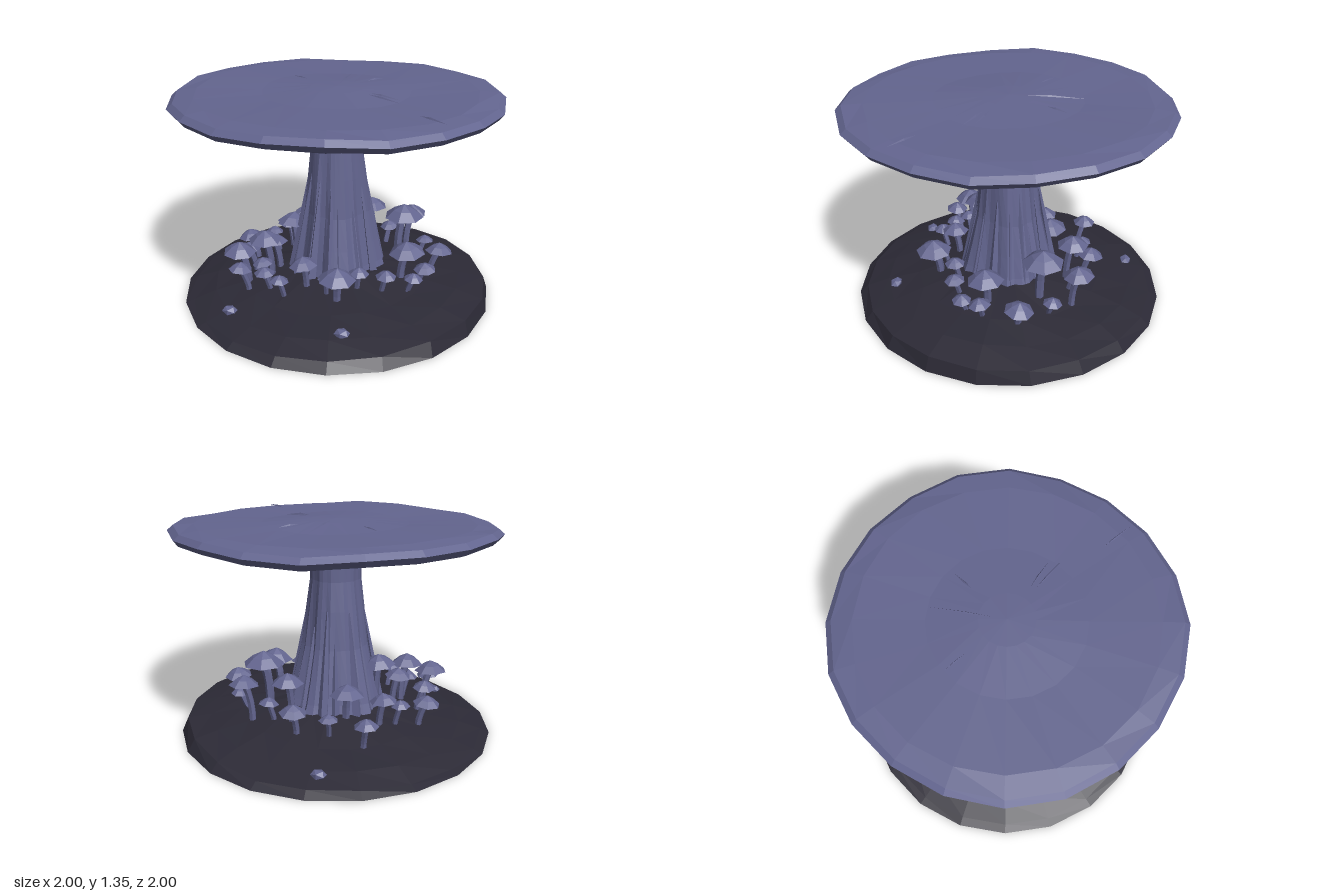
import * as THREE from 'three';
import { mergeGeometries } from 'three/addons/utils/BufferGeometryUtils.js';

const mat = (name, color) => {
  const m = new THREE.MeshStandardMaterial({ color });
  m.name = name;
  return m;
};

// Small seeded random
function seeded(seed) {
  return () => (seed = (seed * 16807) % 2147483647) / 2147483647;
}

// Flat facets: split every triangle and recompute the normals
function flat(geo) {
  const g = geo.index ? geo.toNonIndexed() : geo;
  g.deleteAttribute('uv');
  g.computeVertexNormals();
  return g;
}

// Move each vertex by a rule
function reshape(geo, rule) {
  const p = geo.attributes.position, v = new THREE.Vector3();
  for (let i = 0; i < p.count; i++) {
    v.fromBufferAttribute(p, i);
    rule(v, Math.hypot(v.x, v.z), Math.atan2(v.x, v.z));
    p.setXYZ(i, v.x, v.y, v.z);
  }
  return geo;
}

const lathe = (pts, sides, start = 0, length = Math.PI * 2) =>
  new THREE.LatheGeometry(pts.map(([x, y]) => new THREE.Vector2(x, y)), sides, start, length);

// Height of a profile at radius r
function heightAt(profile, r) {
  for (let i = 1; i < profile.length; i++) {
    const [r0, y0] = profile[i - 1], [r1, y1] = profile[i];
    if (r <= r1) return y0 + (y1 - y0) * (r - r0) / (r1 - r0);
  }
  return profile[profile.length - 1][1];
}

const UNDER = [[0.12, 1.165], [0.4, 1.17], [0.62, 1.197], [0.8, 1.224], [0.93, 1.243]];
const TOP = [[0, 1.347], [0.16, 1.342], [0.45, 1.325], [0.85, 1.328]];

// Thin radial fold on a surface; side is -1 hanging below, +1 standing above
function fold(profile, angle, r0, r1, width, depth, side) {
  const at = (r, offset, lift) => {
    const s = Math.sin(angle), c = Math.cos(angle);
    return [r * s + offset * c, heightAt(profile, r) + lift, r * c - offset * s];
  };
  const rm = r0 + (r1 - r0) * 0.4;
  const I = at(r0, 0, 0), O = at(r1, 0, 0), M = at(rm, 0, side * depth);
  const L = at(rm, -side * width, 0), R = at(rm, side * width, 0);
  const g = new THREE.BufferGeometry();
  g.setAttribute('position', new THREE.Float32BufferAttribute(
    [I, L, M, L, O, M, O, R, M, R, I, M].flat(), 3));
  g.computeVertexNormals();
  return g;
}

// Mound height, tilted up towards +x
const MOUND = [[0, 0.18], [0.3, 0.168], [0.6, 0.108], [0.8, 0.072], [0.94, 0.035], [0.995, 0]];
const tilt = (x) => x * (x > 0 ? 0.06 : 0.02);
const groundY = (x, z) => heightAt(MOUND, Math.hypot(x, z)) + tilt(x);

export function createModel() {
  const root = new THREE.Group();
  root.name = 'giantMushroom';
  const rand = seeded(4711);
  const skin = mat('dusty blue', 0x63658f);
  const soil = mat('dark soil', 0x2c2a36);
  const slate = mat('slate', 0x50526c);
  const indigo = mat('indigo', 0x504390);
  const purple = mat('purple', 0x65249a);
  const violet = mat('gill violet', 0x7667c8);

  const add = (name, geo, material, parent = root) => {
    const m = new THREE.Mesh(geo, material);
    m.name = name;
    parent.add(m);
    return m;
  };

  // Ground mound and its flat base
  const mound = lathe(MOUND.slice().reverse(), 20);
  reshape(mound, (v, r, a) => {
    if (v.y < 0.001) return;
    const k = r > 0.9 ? 1 + 0.035 * Math.max(0, v.x) : 1;
    v.y += tilt(v.x) + (r > 0.2 ? 0.006 * Math.sin(5 * a + r * 9) : 0);
    v.x *= k;
  });
  add('ground', flat(mound), soil);
  add('groundBase', flat(lathe([[0, 0], [0.995, 0]], 20)), slate);

  // Fluted trunk, rougher towards the roots
  const sides = 40;
  const flute = Array.from({ length: sides }, () => rand() * 2 - 1);
  const trunk = lathe([[0.31, 0.1], [0.275, 0.22], [0.245, 0.36], [0.205, 0.56], [0.178, 0.8],
    [0.157, 0.98], [0.157, 1.07], [0.19, 1.17]], sides);
  reshape(trunk, (v, r, a) => {
    const i = (Math.round(a / (Math.PI * 2) * sides) + sides) % sides;
    const rough = 0.03 + 0.1 * Math.max(0, 1 - v.y);
    const k = 1 + flute[i] * rough + 0.02 * Math.sin(3 * a + v.y * 4);
    v.x *= k;
    v.z *= k;
  });
  add('trunk', flat(trunk), skin);

  // Bark strips standing off the trunk
  const strips = [];
  for (let i = 0; i < 16; i++) {
    const g = new THREE.CylinderGeometry(0.006, 0.035, 0.45 + rand() * 0.3, 4);
    const h = g.parameters.height, a = (i + rand() * 0.6) / 16 * Math.PI * 2;
    g.rotateX(-0.17);
    g.translate(0, 0.1 + h / 2, 0.232);
    g.rotateY(a);
    strips.push(flat(g));
  }
  add('barkStrips', mergeGeometries(strips), skin);

  // Cap top and wavy rim
  const cap = lathe([[0.93, 1.243], [0.972, 1.25], [1, 1.285], [0.965, 1.315],
    ...TOP.slice().reverse()], 20);
  reshape(cap, (v, r, a) => {
    if (r > 0.935) {
      v.y += 0.01 * Math.sin(3 * a + 1) + 0.007 * Math.sin(7 * a);
      const k = 1 + 0.008 * Math.sin(4 * a);
      v.x *= k;
      v.z *= k;
    } else if (r > 0.3 && v.y > 1.3) v.y += 0.006 * Math.sin(3 * a + 1);
  });
  add('cap', flat(cap), skin);

  // Creases on the cap
  const creases = [[-3.0, 0.08, 0.46], [2.7, 0.27, 0.42], [-2.1, 0.28, 0.48],
    [1.2, 0.25, 0.48], [1.32, 0.24, 0.44], [1.02, 0.72, 0.92]]
    .map(([a, r0, r1]) => fold(TOP, a, r0, r1, 0.006, 0.01, 1));
  add('capCreases', mergeGeometries(creases), skin);

  // Underside in coloured ring sectors
  const ringParts = new Map([[slate, []], [indigo, []], [purple, []]]);
  const step = Math.PI / 10;
  for (let i = 0; i < 20; i++) {
    for (let j = 0; j < 4; j++) {
      const colour = j === 0 ? slate
        : j === 1 ? (i % 3 ? indigo : purple)
        : j === 2 ? (i % 5 < 3 ? purple : indigo)
        : (i % 7 === 1 ? purple : indigo);
      ringParts.get(colour).push(flat(lathe(UNDER.slice(j, j + 2), 1, i * step, step)));
    }
  }
  for (const [m, list] of ringParts) add('capUnderside', mergeGeometries(list), m);

  // Radial gills
  const gills = new Map([[violet, []], [slate, []], [indigo, []], [purple, []]]);
  const order = [violet, slate, indigo, violet, purple, slate, indigo];
  for (let i = 0; i < 260; i++) {
    const a = (i + rand()) / 260 * Math.PI * 2;
    const r0 = 0.17 + rand() * 0.28, r1 = Math.min(0.8, r0 + 0.18 + rand() * 0.28);
    gills.get(order[Math.floor(rand() * 7)])
      .push(fold(UNDER, a, r0, r1, 0.006 + rand() * 0.004, 0.008 + rand() * 0.014, -1));
  }
  for (const [m, list] of gills) add('gills', mergeGeometries(list), m);

  // Small mushrooms: x, cap top, z, cap radius
  const small = [
    [0.37, 0.52, -0.28, 0.13], [0.49, 0.42, 0.05, 0.115], [0.64, 0.33, -0.18, 0.09],
    [0.42, 0.31, 0.26, 0.065], [0.18, 0.38, 0.46, 0.115], [-0.07, 0.37, 0.38, 0.09],
    [-0.28, 0.5, 0.06, 0.105], [-0.38, 0.45, 0.28, 0.105], [-0.51, 0.39, 0.38, 0.105],
    [-0.62, 0.3, 0.02, 0.085], [-0.46, 0.3, 0.47, 0.075], [-0.31, 0.28, 0.44, 0.065],
    [-0.21, 0.39, -0.25, 0.11], [-0.36, 0.38, 0.18, 0.085], [0.09, 0.3, 0.42, 0.05],
    [0.1, 0.47, -0.43, 0.1], [0.37, 0.43, -0.5, 0.095], [0, 0.33, -0.54, 0.085],
    [-0.42, 0.35, -0.18, 0.085], [-0.44, 0.3, -0.46, 0.075], [0.61, 0.3, 0.06, 0.07],
    [-0.53, 0.31, 0.22, 0.075], [0.26, 0.32, 0.3, 0.065], [-0.18, 0.28, 0.5, 0.06],
    [0.22, 0.3, -0.46, 0.065], [0.5, 0.28, -0.36, 0.06], [-0.2, 0.28, -0.47, 0.06],
    [0.57, 0.28, 0.18, 0.06], [-0.36, 0.3, 0.36, 0.065], [-0.5, 0.29, -0.1, 0.06],
  ];
  small.forEach(([x, top, z, r], i) => {
    const g = new THREE.Group();
    g.name = 'smallMushroom';
    const hat = lathe([[0, 0.16], [0.85, 0.04], [1, 0.08], [0.55, 0.46], [0, 0.74]]
      .map(([a, b]) => [a * r, b * r]), 7);
    hat.rotateZ(0.12 * Math.sin(i * 2.3));
    hat.rotateY(i * 0.7);
    add('smallCap', flat(hat), skin, g).position.set(x, top - 0.74 * r, z);
    const bx = x * 0.92, bz = z * 0.92;
    const path = new THREE.QuadraticBezierCurve3(
      new THREE.Vector3(bx, groundY(bx, bz) - 0.02, bz),
      new THREE.Vector3(bx, top - 0.16, bz),
      new THREE.Vector3(x, top - 0.55 * r, z));
    add('smallStalk', flat(new THREE.TubeGeometry(path, 4, 0.008 + 0.15 * r, 6)), skin, g);
    root.add(g);
  });

  // Buds just breaking the soil
  for (const [x, z] of [[-0.44, 0.66], [0.3, 0.69], [-0.3, -0.77]]) {
    const bud = new THREE.IcosahedronGeometry(0.05, 0).scale(1, 0.6, 0.8);
    add('bud', flat(bud), skin).position.set(x, groundY(x, z) + 0.005, z);
  }
  return root;
}
